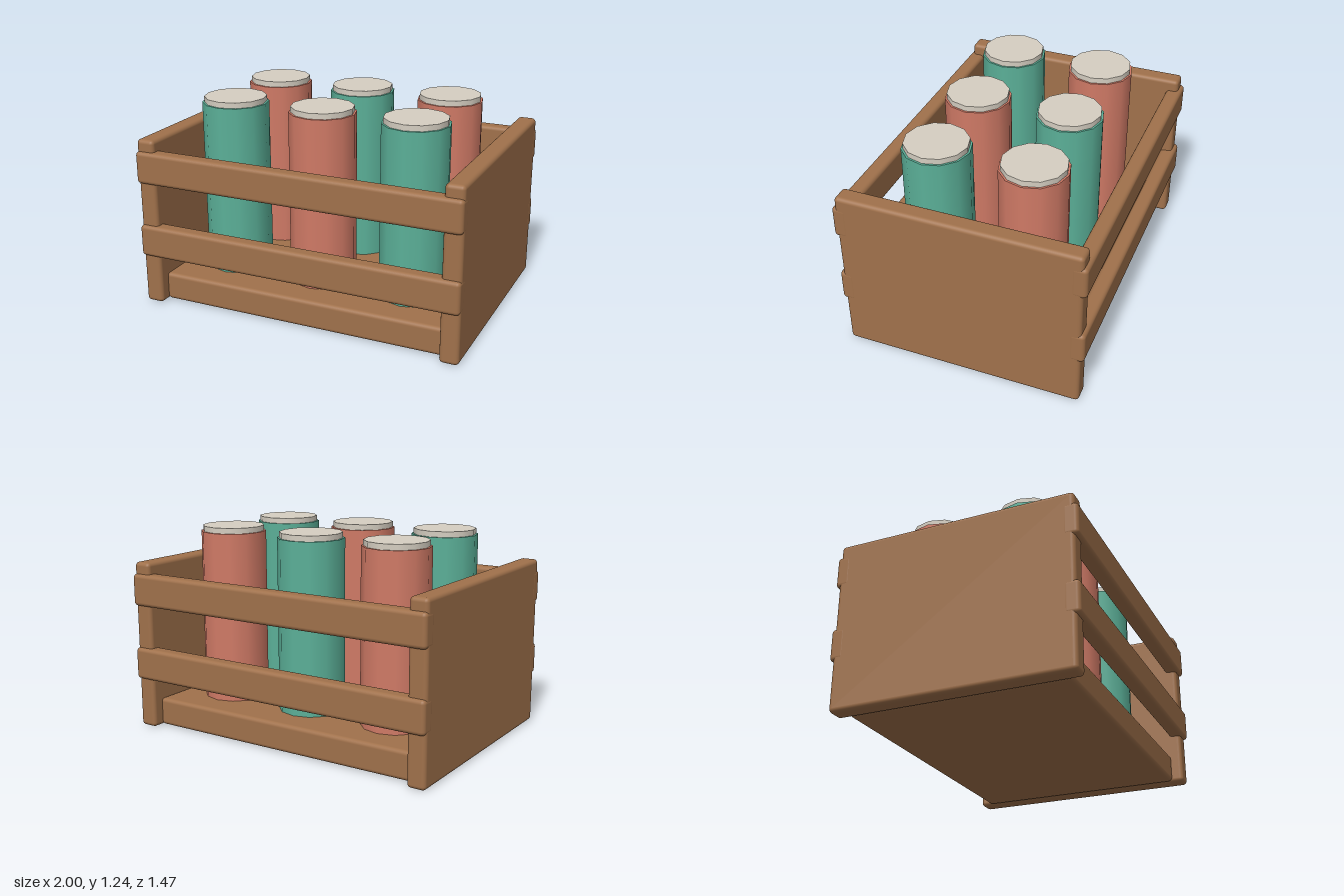
import * as THREE from 'three';
import { RoundedBoxGeometry } from 'three/addons/geometries/RoundedBoxGeometry.js';

const paint = (color) => new THREE.MeshStandardMaterial({ color });

export function createModel() {
  const model = new THREE.Group();
  const wood = paint(0xa0714b);
  const teal = paint(0x5bb098);
  const red = paint(0xd07a66);
  const capWhite = paint(0xd6cfc2);

  // Wooden board with softened edges, placed by its lowest height
  function board(name, w, h, d, x, bottom, z) {
    const mesh = new THREE.Mesh(new RoundedBoxGeometry(w, h, d, 3, 0.024), wood);
    mesh.name = name;
    mesh.position.set(x, bottom + h / 2, z);
    model.add(mesh);
  }

  // Crate: base, solid ends, two slats on each long side
  board('base', 1.79, 0.17, 1.29, 0, 0.003, 0);
  for (const [side, s] of [['left', 1], ['right', -1]]) {
    board(side + 'EndPanel', 0.113, 1.027, 1.425, s * 0.9425, 0, 0);
  }
  for (const [side, s] of [['front', 1], ['back', -1]]) {
    board(side + 'LowerSlat', 2, 0.195, 0.095, 0, 0.305, s * 0.687);
    board(side + 'UpperSlat', 2, 0.195, 0.095, 0, 0.762, s * 0.687);
  }

  // Six twelve-sided containers in alternating colours
  const bodyGeometry = new THREE.CylinderGeometry(0.198, 0.198, 1.04, 12);
  const capGeometry = new THREE.CylinderGeometry(0.186, 0.186, 0.045, 12);
  for (let row = 0; row < 2; row++) {
    for (let col = 0; col < 3; col++) {
      const container = new THREE.Group();
      container.name = 'container';
      const body = new THREE.Mesh(bodyGeometry, (row + col) % 2 ? red : teal);
      body.name = 'containerBody';
      body.position.y = 0.683;
      const cap = new THREE.Mesh(capGeometry, capWhite);
      cap.name = 'containerCap';
      cap.position.y = 1.2135;
      container.add(body, cap);
      container.position.set((col - 1) * 0.572, 0, row ? -0.286 : 0.286);
      model.add(container);
    }
  }
  return model;
}
